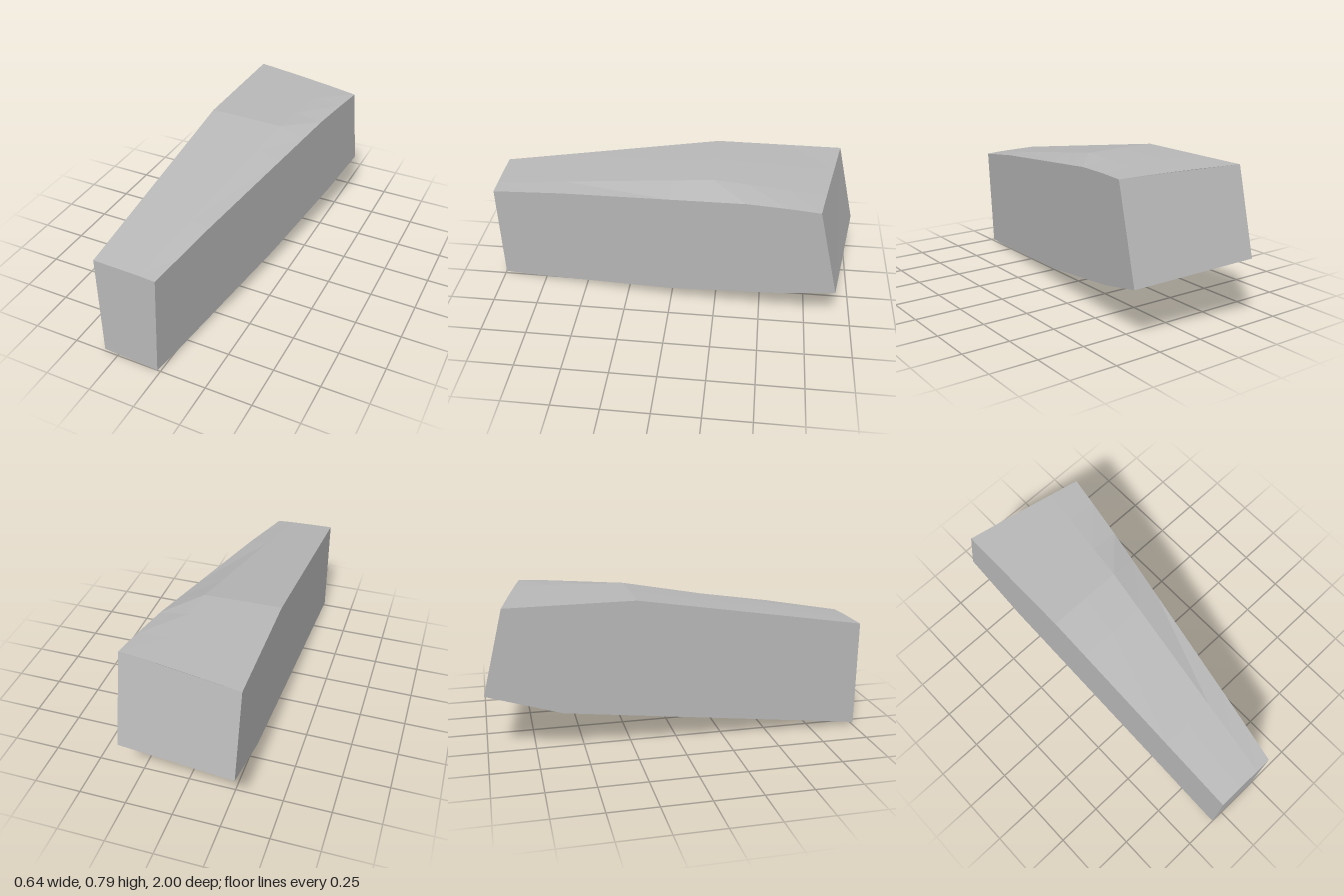
import * as THREE from 'three';

// Piecewise-linear height along z; points run from front (z = 1) to back
function rail(points, z) {
  for (let i = 1; i < points.length; i++) {
    const [z0, y0] = points[i - 1], [z1, y1] = points[i];
    if (z >= z1 || i === points.length - 1) return y0 + (y1 - y0) * (z - z0) / (z1 - z0);
  }
}

const INNER_X = -0.323;
// Slanted, slightly leaning outer wall
const outerX = (y, z) => 0.01 + 0.17 * (1 - z) + 0.048 * (y - 0.58);

// Rails around the section: fraction of the width, z at the back end, height profile
const rails = [
  { f: 0, end: -0.89, p: [[1, 0.59], [-0.22, 0.789], [-0.89, 0.787]] },
  { f: 0.37, end: -0.845, p: [[1, 0.588], [-0.22, 0.788], [-0.845, 0.785]] },
  { f: 0.74, end: -0.80, p: [[1, 0.585], [-0.22, 0.784], [-0.80, 0.78]] },
  { f: 1, end: -0.77, p: [[1, 0.58], [0.6, 0.64], [-0.4, 0.76], [-0.6, 0.77], [-0.77, 0.773]] },
  { f: 1, end: -0.89, p: [[1, 0], [0.8, 0.014], [0, 0.102], [-0.6, 0.208], [-0.77, 0.243], [-0.89, 0.28]] },
  { f: 0, end: -1, p: [[1, 0.016], [-0.61, 0.216], [-1, 0.34]] },
];

export function createModel() {
  const group = new THREE.Group();
  const grey = new THREE.MeshStandardMaterial({ color: 0xb8b8b8 });
  grey.name = 'grey';

  // Cross-sections from front to back; the last one follows the slanted back face
  const sections = [1, 0.8, 0.6, 0, -0.22, -0.4, -0.61, null].map((station) =>
    rails.map(({ f, end, p }) => {
      const z = station ?? end;
      const y = rail(p, z);
      return [INNER_X + f * (outerX(y, z) - INNER_X), y, z];
    }));

  const positions = [];
  const tri = (a, b, c) => positions.push(...a, ...b, ...c);
  const n = rails.length;

  // Skin between neighbouring sections
  for (let i = 0; i < sections.length - 1; i++) {
    for (let j = 0; j < n; j++) {
      const k = (j + 1) % n;
      const a = sections[i][j], b = sections[i][k], c = sections[i + 1][k], d = sections[i + 1][j];
      tri(a, b, c);
      tri(a, c, d);
    }
  }
  // Front and back end faces
  const front = sections[0], back = sections[sections.length - 1];
  for (let j = 1; j < n - 1; j++) {
    tri(front[0], front[j + 1], front[j]);
    tri(back[0], back[j], back[j + 1]);
  }

  const geometry = new THREE.BufferGeometry();
  geometry.setAttribute('position', new THREE.Float32BufferAttribute(positions, 3));
  geometry.computeVertexNormals();
  const block = new THREE.Mesh(geometry, grey);
  block.name = 'taperedBlock';
  group.add(block);
  return group;
}
